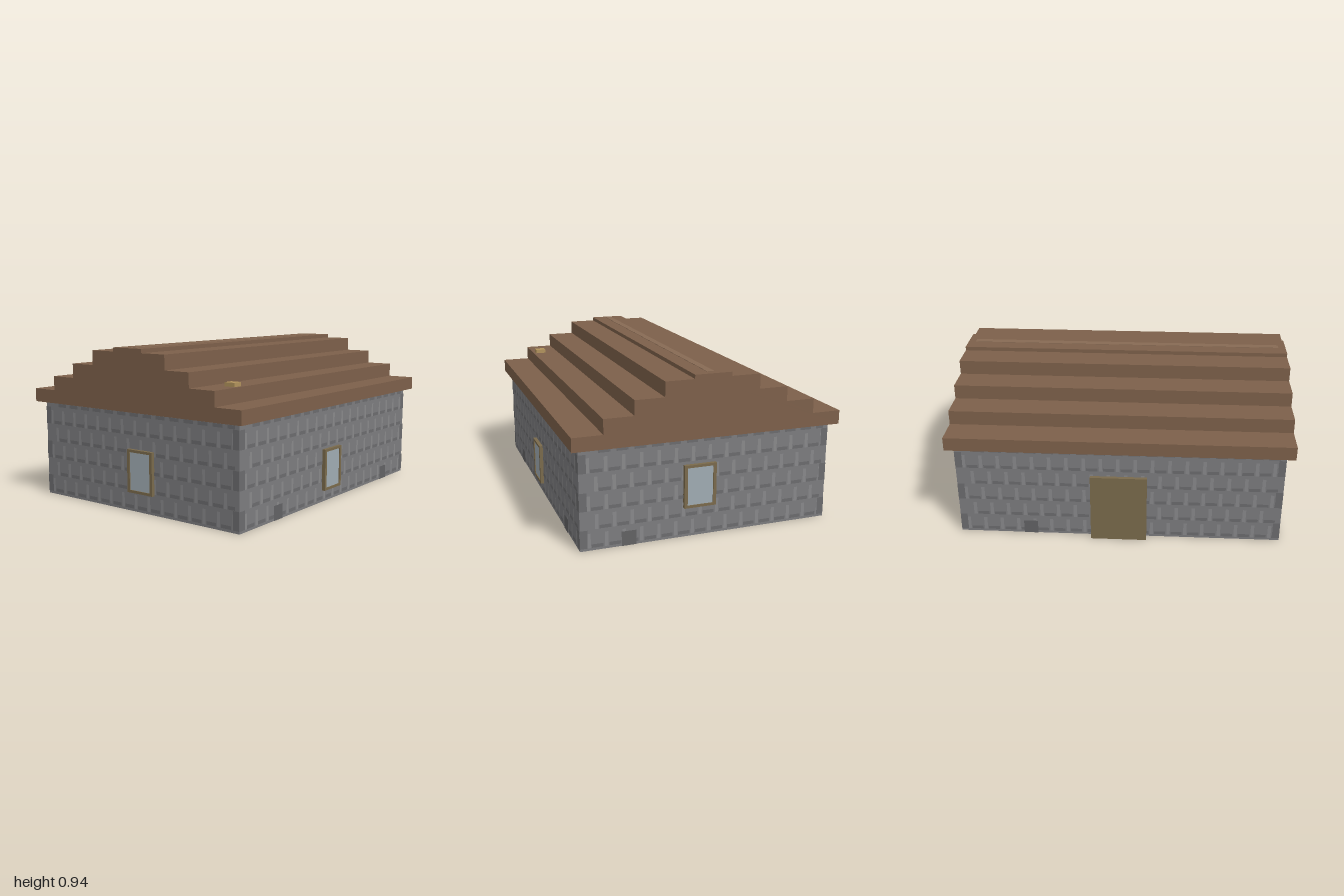
import * as THREE from 'three';
import { mergeGeometries } from 'three/addons/utils/BufferGeometryUtils.js';

const W = 0.955, D = 0.743, H = 0.58; // half width, half depth and height of the walls
const material = (color) => new THREE.MeshStandardMaterial({ color, flatShading: true });
const stone = material(0x7c7c7f), stoneDark = material(0x6c6c6e), stoneLight = material(0x89898b);
const slab = material(0x626264), wood = material(0x7d604a), woodLight = material(0x876a54);
const frameWood = material(0x7a6a4c), glass = material(0xa0acb3), peg = material(0xb2935c);

// Box given by its lower and upper limits
function boxGeo(x0, x1, y0, y1, z0, z1) {
  return new THREE.BoxGeometry(x1 - x0, y1 - y0, z1 - z0)
    .translate((x0 + x1) / 2, (y0 + y1) / 2, (z0 + z1) / 2);
}

function add(parent, name, geo, mat) {
  const mesh = new THREE.Mesh(geo, mat);
  mesh.name = name;
  parent.add(mesh);
  return mesh;
}

// Flat patch lying just in front of a wall plane
function patch(u0, u1, v0, v1, lift) {
  return new THREE.PlaneGeometry(u1 - u0, v1 - v0).translate((u0 + u1) / 2, (v0 + v1) / 2, lift);
}

// Masonry for one wall: staggered upright joints, dark courses, quoins and base stones
function masonry(half, baseStones) {
  const group = new THREE.Group();
  const rows = 5, rowH = 0.107, pitch = 0.1;
  const joints = [], courses = [], quoins = [];
  for (let r = 0; r <= rows; r++) {
    const y = 0.015 + r * rowH;
    const shift = r % 2 ? 0.045 : 0;
    const top = Math.min(y + 0.085, H);
    for (let u = -half + 0.04 + shift; u < half - 0.03; u += pitch) {
      if (r < rows) joints.push(patch(u, u + 0.02, y, top, 0.002));
      const end = Math.min(u + pitch - 0.008, half - 0.03);
      if (end > u + 0.025) courses.push(patch(u + 0.025, end, y, y + 0.02, 0.001));
    }
    if (r % 2 === 0 && r < rows) {
      for (const s of [-1, 1]) {
        const a = s * half, b = s * (half - 0.042);
        quoins.push(patch(Math.min(a, b), Math.max(a, b), y, top + 0.02, 0.0025));
      }
    }
  }
  add(group, 'joints', mergeGeometries(joints), stoneLight);
  add(group, 'courses', mergeGeometries(courses), stoneDark);
  add(group, 'quoins', mergeGeometries(quoins), stoneDark);
  for (const u of baseStones) add(group, 'baseStone', patch(u - 0.042, u + 0.042, 0, 0.085, 0.003), slab);
  return group;
}

// Window in wall coordinates: a frame with a hole, and the pane inside it
function windowUnit(u, y) {
  const group = new THREE.Group();
  const w = 0.095, h = 0.125, bar = 0.019;
  const rect = (Kind, a, b) => new Kind([[-a, -b], [a, -b], [a, b], [-a, b]].map((p) => new THREE.Vector2(...p)));
  const outline = rect(THREE.Shape, w, h);
  outline.holes.push(rect(THREE.Path, w - bar, h - bar * 0.8));
  add(group, 'windowFrame', new THREE.ExtrudeGeometry(outline, { depth: 0.021, bevelEnabled: false }), frameWood);
  add(group, 'windowPane', boxGeo(-w + bar, w - bar, -h + bar * 0.8, h - bar * 0.8, 0, 0.016), glass);
  group.position.set(u, y, 0);
  return group;
}

export function createModel() {
  const model = new THREE.Group();
  model.name = 'stoneHouse';

  add(model, 'walls', boxGeo(-W, W, 0, H, -D, D), stone);

  // Each wall: turn about y, distance from centre, half length, base stones, window (u, y)
  const sides = [
    { name: 'frontWall', turn: 0, dist: D, half: W, stones: [-0.6, 0.66], win: [-0.035, 0.195] },
    { name: 'leftWall', turn: Math.PI / 2, dist: W, half: D, stones: [-0.467], win: [-0.055, 0.3] },
    { name: 'backWall', turn: Math.PI, dist: D, half: W, stones: [-0.53] },
    { name: 'rightWall', turn: -Math.PI / 2, dist: W, half: D, stones: [], win: [0.055, 0.238] },
  ];
  for (const s of sides) {
    const side = new THREE.Group();
    side.name = s.name;
    const face = new THREE.Group();
    face.name = s.name + 'Face';
    face.position.z = s.dist;
    const stones = masonry(s.half, s.stones);
    stones.name = 'masonry';
    face.add(stones);
    if (s.win) {
      const win = windowUnit(...s.win);
      win.name = 'window';
      face.add(win);
    }
    side.add(face);
    side.rotation.y = s.turn;
    model.add(side);
  }

  // Back door: a leaf with a slightly taller outer panel
  add(model, 'doorLeaf', boxGeo(-0.145, 0.145, 0, 0.405, -0.766, -D), frameWood);
  add(model, 'doorPanel', boxGeo(-0.165, 0.165, 0, 0.425, -0.787, -0.766), frameWood);

  // Stepped roof: one profile swept along x
  const steps = [[0.787, 0.66], [0.615, 0.745], [0.445, 0.83], [0.276, 0.915], [0.108, 0.938]];
  const right = [];
  let y = H;
  for (const [z, top] of steps) {
    right.push([z, y], [z, top]);
    y = top;
  }
  const left = right.map(([z, v]) => [-z, v]).reverse();
  const profile = new THREE.Shape([...right, ...left].map((p) => new THREE.Vector2(...p)));
  const roofGeo = new THREE.ExtrudeGeometry(profile, { depth: 2, bevelEnabled: false });
  roofGeo.translate(0, 0, -1).rotateY(Math.PI / 2);
  add(model, 'steppedRoof', roofGeo, wood);

  // Ridge strip and the small block on the front slope
  add(model, 'ridgeStrip', boxGeo(-W, W, 0.92, 0.94, -0.021, 0.021), woodLight);
  add(model, 'roofBlock', boxGeo(-0.807, -0.75, 0.74, 0.768, 0.533, 0.598), peg);

  return model;
}
